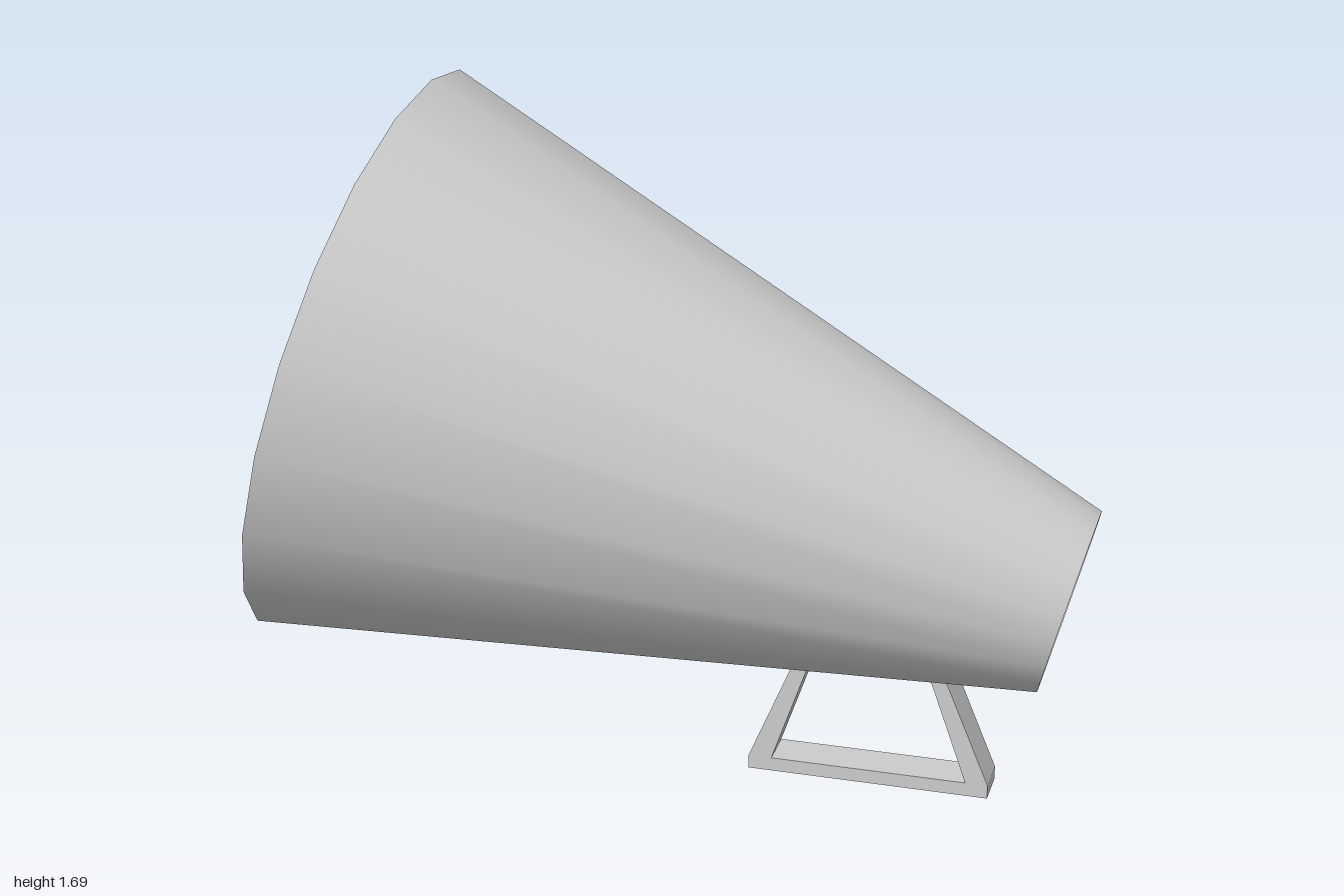
import * as THREE from 'three';

export function createModel() {
  const group = new THREE.Group();
  const material = new THREE.MeshStandardMaterial({ color: 0xcccccc });
  const thin = new THREE.MeshStandardMaterial({ color: 0xcccccc, side: THREE.DoubleSide });

  // Open tapered horn, tilted so that its underside lies level
  const wide = new THREE.Vector2(-0.813, 0.994);
  const narrow = new THREE.Vector2(0.939, 0.527);
  const axis = narrow.clone().sub(wide);
  const horn = new THREE.Mesh(
    new THREE.CylinderGeometry(0.23, 0.72, axis.length(), 20, 1, true), thin);
  horn.name = 'horn';
  horn.position.set((wide.x + narrow.x) / 2, (wide.y + narrow.y) / 2, 0);
  horn.rotation.z = axis.angle() - Math.PI / 2;
  group.add(horn);

  // Handle: a flat bar with two legs leaning in to meet the horn
  const outline = new THREE.Shape([
    [0.17, 0], [0.77, 0], [0.77, 0.035], [0.655, 0.312], [0.617, 0.312],
    [0.715, 0.035], [0.228, 0.035], [0.322, 0.312], [0.284, 0.312], [0.17, 0.035],
  ].map(([x, y]) => new THREE.Vector2(x, y)));
  const handleGeometry = new THREE.ExtrudeGeometry(outline, { depth: 0.104, bevelEnabled: false });
  handleGeometry.translate(0, 0, -0.052);
  const handle = new THREE.Mesh(handleGeometry, material);
  handle.name = 'handle';
  group.add(handle);

  return group;
}
